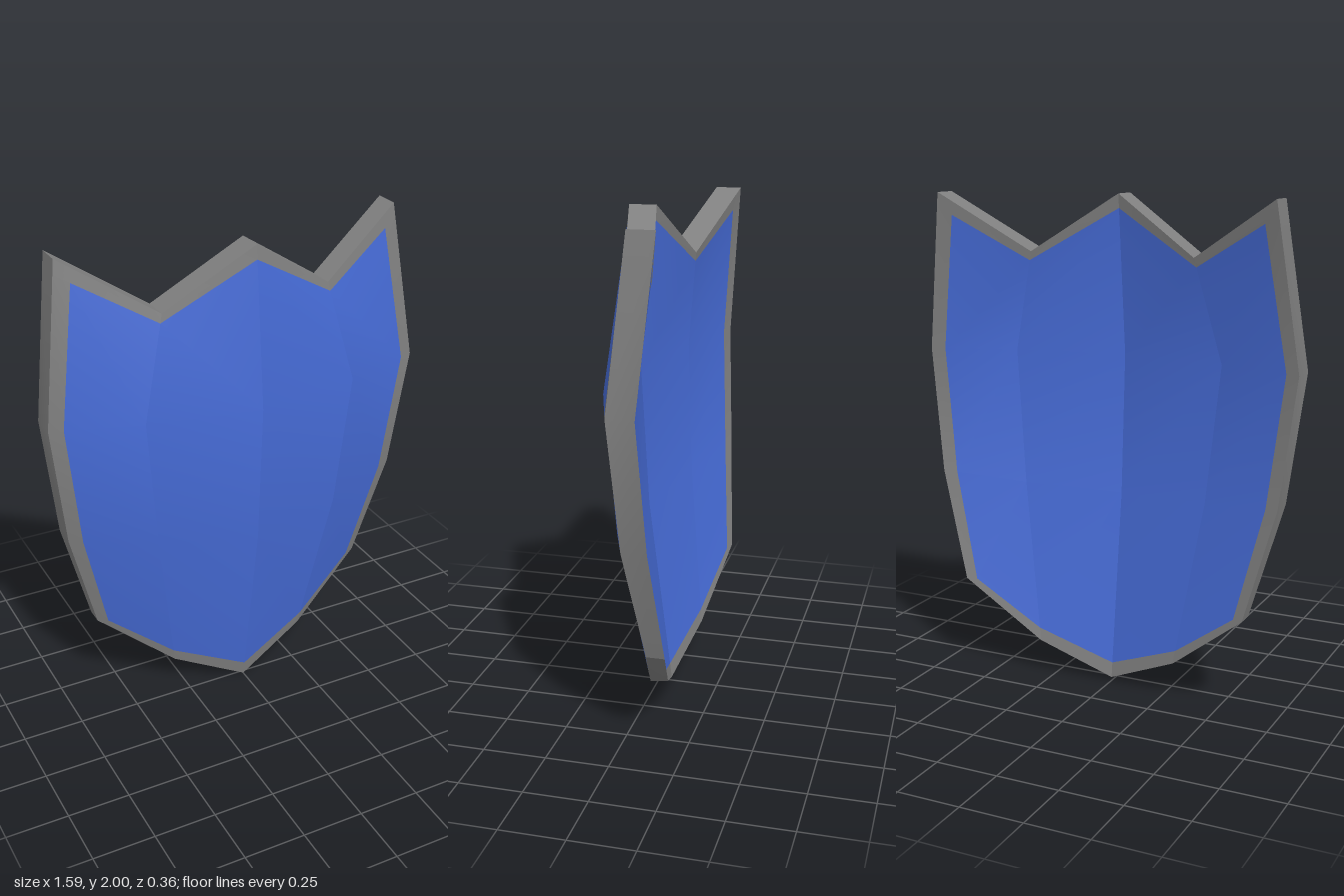
import * as THREE from 'three';

// Half cross-sections from top to bottom: [centre, middle, edge], each [x, y, z]
const FRONT = [
  [[0, 2, 0.12], [0.35, 1.77, 0.045], [0.71, 2, -0.07]],
  [[0, 1.36, 0.18], [0.45, 1.36, 0.095], [0.795, 1.36, -0.015]],
  [[0, 0.78, 0.145], [0.4, 0.8, 0.062], [0.735, 0.85, -0.05]],
  [[0, 0, 0.015], [0.3, 0.14, -0.043], [0.615, 0.4, -0.11]],
];
const BACK = [
  [[0, 2, 0.01], [0.35, 1.77, -0.065], [0.71, 2, -0.175]],
  [[0, 1.36, 0.075], [0.45, 1.36, -0.012], [0.795, 1.36, -0.122]],
  [[0, 0.79, 0.042], [0.4, 0.81, -0.042], [0.735, 0.85, -0.148]],
  [[0, 0.015, -0.055], [0.3, 0.15, -0.115], [0.615, 0.4, -0.182]],
];

// Point on a shell: u runs from -1 (right edge) to 1 (left edge), v from 0 (top) to 3 (bottom)
function point(shell, u, v) {
  const a = Math.abs(u) * 2;
  const c = Math.min(1, Math.floor(a));
  const r = Math.min(2, Math.floor(v));
  const across = (row) => new THREE.Vector3(...shell[row][c]).lerp(new THREE.Vector3(...shell[row][c + 1]), a - c);
  const p = across(r).lerp(across(r + 1), v - r);
  if (u < 0) p.x = -p.x;
  return p;
}

// Smooth sheet through rows of points; pick(row, column) chooses the material of each cell
function sheet(name, rows, materials, pick = () => 0, flip = false) {
  const n = rows[0].length;
  const geometry = new THREE.BufferGeometry().setFromPoints(rows.flat());
  const index = [];
  for (let i = 0; i < rows.length - 1; i++) {
    for (let j = 0; j < n - 1; j++) {
      const a = i * n + j, b = a + n, c = b + 1, d = a + 1;
      geometry.addGroup(index.length, 6, pick(i, j));
      index.push(...(flip ? [a, c, b, a, d, c] : [a, b, c, a, c, d]));
    }
  }
  geometry.setIndex(index);
  geometry.computeVertexNormals();
  const mesh = new THREE.Mesh(geometry, materials);
  mesh.name = name;
  return mesh;
}

export function createModel() {
  const blue = new THREE.MeshStandardMaterial({ color: 0x466bd6 });
  blue.name = 'blue paint';
  const grey = new THREE.MeshStandardMaterial({ color: 0x808080 });
  grey.name = 'grey metal';
  const materials = [grey, blue];

  const shield = new THREE.Group();
  shield.name = 'shield';

  // Front and back faces: four creased panels, blue field inside a grey border
  const panels = [[-1, -0.92, -0.5], [-0.5, 0], [0, 0.5], [0.5, 0.92, 1]];
  const vs = [0, 0.088, 1, 2, 2.92, 3];
  for (const [name, shell, flip] of [['frontFace', FRONT, false], ['backFace', BACK, true]]) {
    const face = new THREE.Group();
    face.name = name;
    for (const us of panels) {
      const rows = vs.map((v) => us.map((u) => point(shell, u, v)));
      const pick = (i, j) =>
        i > 0 && i < vs.length - 2 && Math.abs(us[j] + us[j + 1]) / 2 < 0.92 ? 1 : 0;
      face.add(sheet(name + 'Panel', rows, materials, pick, flip));
    }
    shield.add(face);
  }

  // Rim joining the two faces
  const rim = new THREE.Group();
  rim.name = 'rim';
  const addRim = (name, path, flip) =>
    rim.add(sheet(name, [BACK, FRONT].map((s) => path.map(([u, v]) => point(s, u, v))), [grey], undefined, flip));
  for (const u of [-1, -0.5, 0, 0.5]) addRim('topRim', [[u, 0], [u + 0.5, 0]], false);
  for (const u of [-1, 0]) addRim('bottomRim', [[u, 3], [u + 0.5, 3], [u + 1, 3]], true);
  for (const u of [-1, 1]) addRim('sideRim', [0, 1, 2, 3].map((v) => [u, v]), u < 0);
  shield.add(rim);

  return shield;
}
